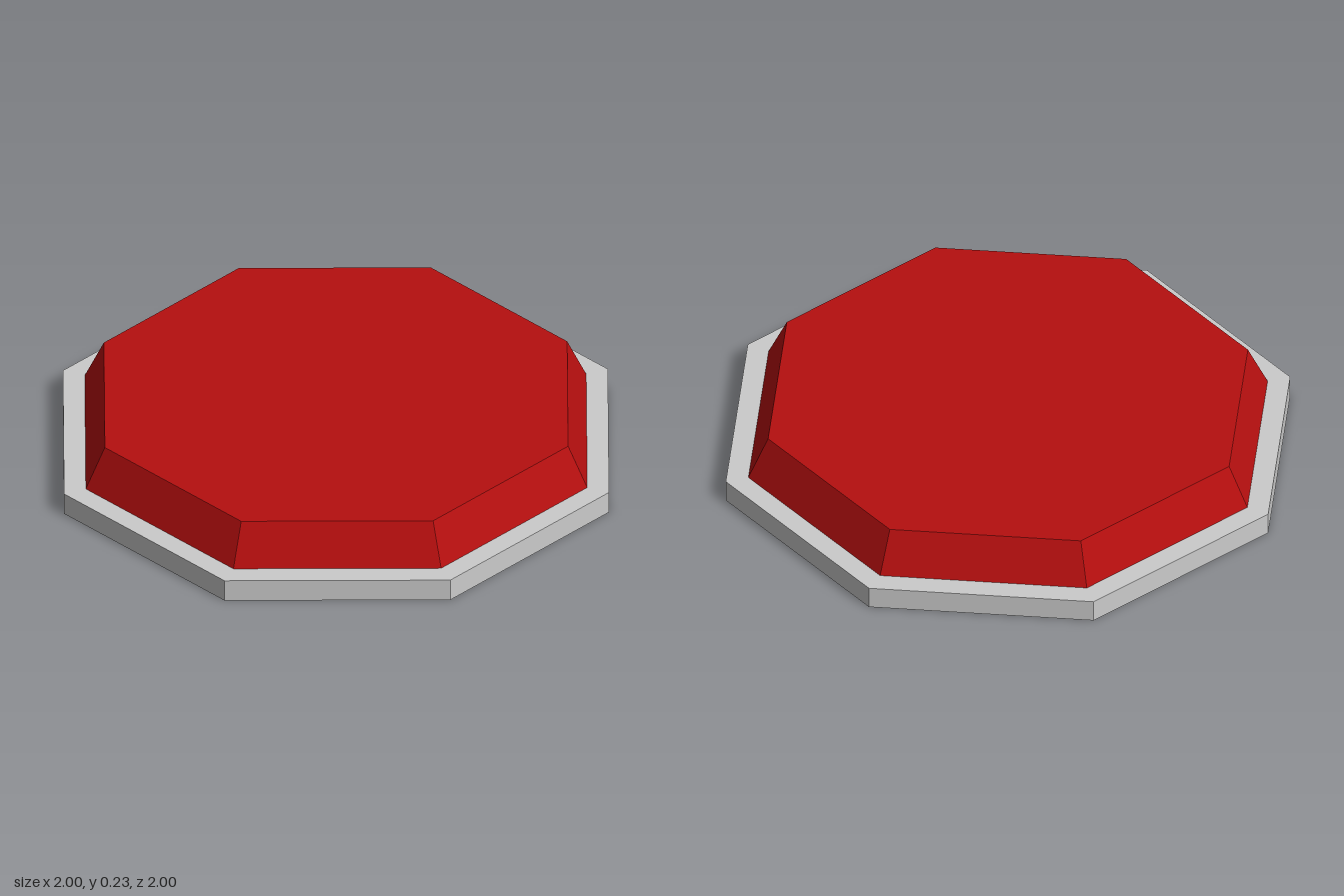
import * as THREE from 'three';

const SIDES = 8;

// Eight-sided slab standing on height y, with corners on the x and z axes
function slab(name, topRadius, bottomRadius, y, height, color) {
  const geometry = new THREE.CylinderGeometry(topRadius, bottomRadius, height, SIDES);
  geometry.translate(0, y + height / 2, 0);
  const material = new THREE.MeshStandardMaterial({ color, flatShading: true });
  const mesh = new THREE.Mesh(geometry, material);
  mesh.name = name;
  return mesh;
}

export function createModel() {
  const model = new THREE.Group();
  model.name = 'floorButton';

  // Grey base plate
  model.add(slab('base', 1, 1, 0, 0.08, 0xcccccc));

  // Red push plate with sloped sides
  model.add(slab('button', 0.85, 0.92, 0.08, 0.15, 0xb50f0f));

  return model;
}
